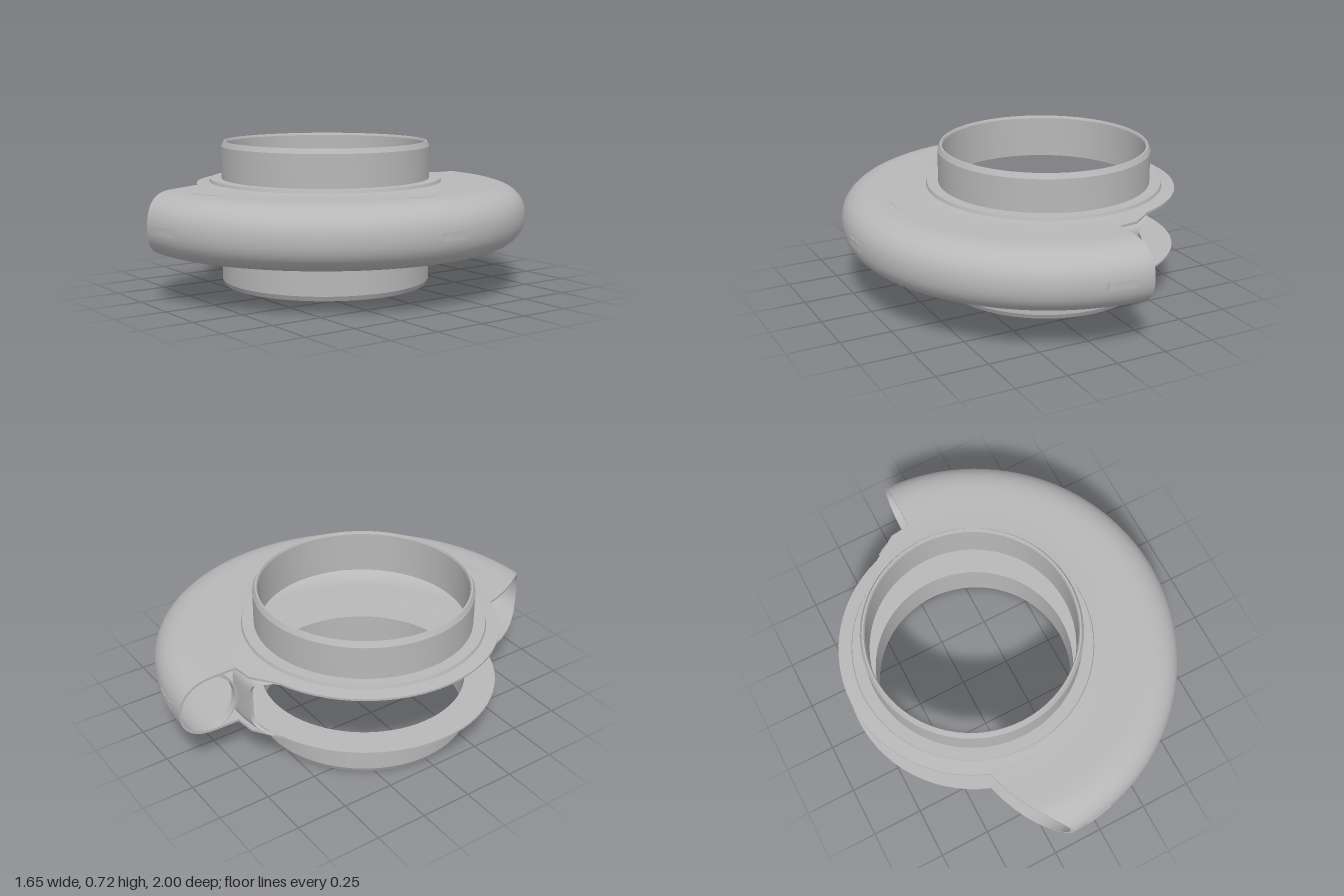
import * as THREE from 'three';
import { toCreasedNormals } from 'three/addons/utils/BufferGeometryUtils.js';

const MID = 0.358; // height of the symmetry plane
const rad = THREE.MathUtils.degToRad;

// Sweep a thin section around the y axis. outer and inner are matching lists
// of [r, y]; start and end give the angle in degrees for each point.
function sweep(outer, inner, start, end, steps) {
  const loop = [...outer, ...[...inner].reverse()];
  const n = loop.length, pos = [], idx = [];
  for (let j = 0; j <= steps; j++) {
    for (const [r, y] of loop) {
      const a = rad(THREE.MathUtils.lerp(start(r, y), end(r, y), j / steps));
      pos.push(r * Math.cos(a), y, r * Math.sin(a));
    }
  }
  for (let j = 0; j < steps; j++) {
    for (let i = 0; i < n; i++) {
      const k = (i + 1) % n, a = j * n, b = a + n;
      idx.push(a + i, b + i, b + k, a + i, b + k, a + k);
    }
  }
  const e = steps * n;
  for (let i = 0; i < outer.length - 1; i++) {
    const p = n - 1 - i, q = p - 1;
    idx.push(i, i + 1, q, i, q, p);
    idx.push(e + i, e + q, e + i + 1, e + i, e + p, e + q);
  }
  const g = new THREE.BufferGeometry();
  g.setAttribute('position', new THREE.Float32BufferAttribute(pos, 3));
  g.setIndex(idx);
  return toCreasedNormals(g, 0.6);
}

// C-shaped section of the half-round casing, offset inwards by t
function casingSection(t) {
  const top = [[0.565, 0.515 - t], [0.645, 0.511 - t], [0.7, 0.509 - t], [0.705, 0.509 - t], [0.77, 0.508 - t]];
  const pts = [...top];
  for (let i = 0; i <= 20; i++) {
    const a = Math.PI / 2 - (i / 20) * Math.PI, c = Math.cos(a), s = Math.sin(a);
    pts.push([
      0.82 + (0.18 - t) * Math.pow(Math.abs(c), 0.88),
      MID + (0.15 - t) * Math.sign(s) * Math.pow(Math.abs(s), 0.88),
    ]);
  }
  for (const [r, y] of top.reverse()) pts.push([r, 2 * MID - y]);
  return pts;
}

// Upright section through the tongue between the two flanges
function tongueSection(radius) {
  const pts = [];
  for (let i = 0; i <= 20; i++) {
    const t = Math.cos((i / 20) * Math.PI);
    pts.push([radius(t), MID + 0.143 * t]);
  }
  return pts;
}

export function createModel() {
  const grey = new THREE.MeshStandardMaterial({ color: 0xb8b8b8, side: THREE.DoubleSide });
  grey.name = 'grey';
  const model = new THREE.Group();
  model.name = 'scrollHousing';
  const body = new THREE.Group();
  body.name = 'body';
  body.position.x = -0.18;
  model.add(body);
  const add = (name, geometry) => {
    const mesh = new THREE.Mesh(geometry, grey);
    mesh.name = name;
    body.add(mesh);
  };

  // Collars with stepped ring and flange
  const collar = [
    [0.497, 0.5], [0.645, 0.5], [0.645, 0.51], [0.582, 0.516], [0.577, 0.531],
    [0.522, 0.531], [0.522, 0.692], [0.51, 0.716], [0.502, 0.716], [0.497, 0.705], [0.497, 0.5],
  ];
  const lathe = (pts) => toCreasedNormals(
    new THREE.LatheGeometry(pts.map(([r, y]) => new THREE.Vector2(r, y)), 72), 0.4);
  add('upperCollar', lathe(collar));
  add('lowerCollar', lathe(collar.map(([r, y]) => [r, 2 * MID - y]).reverse()));

  // Hollow half-round casing: square cut at the back, slanted cut at the front
  const backCut = (r) => (r > 0.702 ? -90 : -98 - 12 * THREE.MathUtils.clamp((0.7 - r) / 0.055, 0, 1));
  const frontCut = (r) => 110 - 20.6 * THREE.MathUtils.clamp((r - 0.645) / 0.355, 0, 1);
  add('casing', sweep(casingSection(0), casingSection(0.012), backCut, frontCut, 72));

  // Inner half of the round outlet
  const round = (offset) => (t) => 0.85 - (0.15 - offset) * Math.sqrt(Math.max(0, 1 - t * t));
  add('outletInnerWall', sweep(tongueSection(round(0.012)), tongueSection(round(0)),
    () => -90, () => -87, 3));

  // Tongue wall, flared where it meets the flanges
  const flare = (r0) => (t) => r0 - 0.04 * Math.pow(t, 8);
  const tongueEdge = (r, y) => -98.3 - 9 * Math.pow((y - MID) / 0.143, 6);
  add('tongue', sweep(tongueSection(flare(0.703)), tongueSection(flare(0.685)),
    tongueEdge, () => -87, 8));

  // Small flush plates on the rim, top and underside
  const plate = (name, outer, inner, angle, half) =>
    add(name, sweep(outer, inner, () => angle - half, () => angle + half, 6));
  for (const angle of [-81, 0, 81]) {
    plate('rimPlate', [[1.0015, MID + 0.02], [1.0015, MID - 0.02]],
      [[0.995, MID + 0.02], [0.995, MID - 0.02]], angle, 3.8);
    plate('undersidePlate', [[0.79, 0.2065], [0.75, 0.2065]],
      [[0.79, 0.211], [0.75, 0.211]], angle, 5);
    if (angle >= 0) {
      plate('topPlate', [[0.75, 0.5095], [0.79, 0.5095]],
        [[0.75, 0.505], [0.79, 0.505]], angle, 5);
    }
  }
  return model;
}
